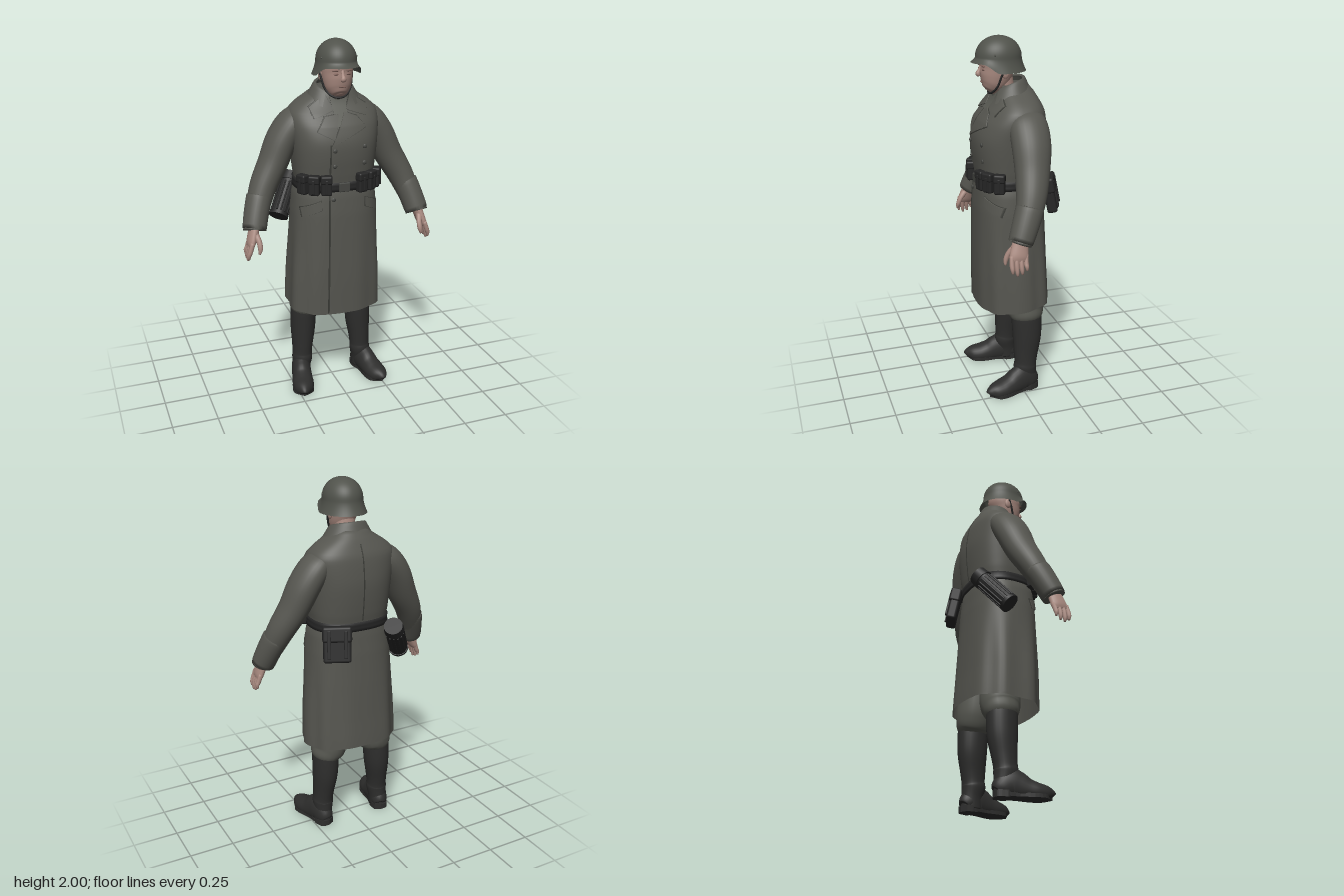
import * as THREE from 'three';
import { mergeVertices } from 'three/addons/utils/BufferGeometryUtils.js';
import { RoundedBoxGeometry } from 'three/addons/geometries/RoundedBoxGeometry.js';

const V = (x, y, z) => new THREE.Vector3(x, y, z);
const mat = (name, color, side = THREE.FrontSide) => Object.assign(new THREE.MeshStandardMaterial({ color, side }), { name });
const M = {
  coat: mat('coat cloth', 0x565650, THREE.DoubleSide),
  seam: mat('seam shadow', 0x3c3d38),
  trousers: mat('trouser cloth', 0x595a53),
  helmet: mat('helmet steel', 0x50524b, THREE.DoubleSide),
  skin: mat('skin', 0xa98a80),
  skinDark: mat('skin shade', 0x7d6058),
  boot: mat('boot leather', 0x2e2e2d),
  gear: mat('belt leather', 0x262626),
  metal: mat('dull metal', 0x464743),
};

// Catmull-Rom through rows of numbers, t in row units
function sample(rows, t) {
  const n = rows.length - 1, i = Math.min(n - 1, Math.max(0, Math.floor(t))), f = t - i;
  const [a, b, c, d] = [rows[Math.max(0, i - 1)], rows[i], rows[i + 1], rows[Math.min(n, i + 2)]];
  return b.map((p, k) => p + 0.5 * f * (c[k] - a[k] + f * (2 * a[k] - 5 * p + 4 * c[k] - d[k] + f * (3 * (p - c[k]) + d[k] - a[k]))));
}
// Surface from f(u, v): u runs right and v up when seen from outside
function grid(nu, nv, f) {
  const g = new THREE.PlaneGeometry(1, 1, nu, nv), p = g.attributes.position;
  for (let i = 0; i < p.count; i++) {
    const q = f(p.getX(i) + 0.5, p.getY(i) + 0.5);
    p.setXYZ(i, q.x, q.y, q.z);
  }
  g.deleteAttribute('uv'); g.deleteAttribute('normal');
  const m = mergeVertices(g, 1e-5);
  m.computeVertexNormals();
  return m;
}
// Closed tube through rows [x, y, z, ra, rb]; rb lies along ref
function limb(rows, ref = V(0, 0, 1), nu = 20, k = 6, floor = 0) {
  const n = rows.length - 1, nv = n * k + 2;
  return grid(nu, nv, (u, v) => {
    const j = Math.round(v * nv), t = Math.min(n, Math.max(0, (j - 1) / k));
    const s = sample(rows, t), c = V(s[0], s[1], s[2]);
    if (j === 0 || j === nv) return c;
    const e0 = sample(rows, Math.max(0, t - 0.1)), e1 = sample(rows, Math.min(n, t + 0.1));
    const d = V(e1[0] - e0[0], e1[1] - e0[1], e1[2] - e0[2]).normalize();
    const b = ref.clone().addScaledVector(d, -ref.dot(d)).normalize(), a = d.clone().cross(b), w = u * Math.PI * 2;
    c.addScaledVector(a, Math.sin(w) * s[3]).addScaledVector(b, Math.cos(w) * s[4]);
    c.y = Math.max(floor, c.y);
    return c;
  });
}
function mirrored(geo) {
  const g = geo.clone().scale(-1, 1, 1), ix = g.index;
  for (let i = 0; i < ix.count; i += 3) { const a = ix.getX(i); ix.setX(i, ix.getX(i + 1)); ix.setX(i + 1, a); }
  g.computeVertexNormals();
  return g;
}

// Coat outline [y, half width, front z, back z]
const COAT = [[0.5, 0.266, 0.212, -0.195], [0.7, 0.26, 0.214, -0.186], [0.9, 0.248, 0.212, -0.176], [1.08, 0.238, 0.208, -0.166],
  [1.18, 0.228, 0.2, -0.158], [1.235, 0.214, 0.192, -0.153], [1.3, 0.222, 0.2, -0.163], [1.4, 0.232, 0.21, -0.173],
  [1.48, 0.24, 0.207, -0.176], [1.56, 0.248, 0.18, -0.169], [1.62, 0.242, 0.14, -0.158], [1.665, 0.2, 0.108, -0.138],
  [1.71, 0.132, 0.09, -0.115], [1.745, 0.088, 0.078, -0.09]];
function section(y) {
  let i = 0;
  while (i < COAT.length - 2 && y > COAT[i + 1][0]) i++;
  const [, rx, f, b] = sample(COAT, i + Math.min(1, Math.max(0, (y - COAT[i][0]) / (COAT[i + 1][0] - COAT[i][0]))));
  return { rx, cz: (f + b) / 2, rz: (f - b) / 2 };
}
function coatPoint(a, y, off = 0) {
  const { rx, cz, rz } = section(y), s = Math.sin(a), c = Math.cos(a), pw = q => Math.sign(q) * Math.abs(q) ** 0.8;
  const fold = 0.007 * THREE.MathUtils.smoothstep(1.15 - y, 0, 0.5) * Math.abs(s) * Math.sin(9 * a);
  return V((rx + off + fold) * pw(s), y, cz + (rz + off + fold) * pw(c));
}
function coatZ(x, y, side = 1) {
  const { rx, cz, rz } = section(y), q = Math.min(0.985, Math.abs(x) / rx);
  return cz + side * rz * (1 - q ** 2.5) ** 0.4;
}
// Thin plate on the coat; corners run bottom left, bottom right, top right, top left from outside
function patch([a, b, c, d], t = 0.008, side = 1) {
  const g = new THREE.BoxGeometry(1, 1, 1, 8, 24, 1), p = g.attributes.position;
  for (let i = 0; i < p.count; i++) {
    const u = p.getX(i) + 0.5, v = p.getY(i) + 0.5, m = k => (1 - v) * ((1 - u) * a[k] + u * b[k]) + v * ((1 - u) * d[k] + u * c[k]);
    const x = m(0), y = m(1);
    p.setXYZ(i, x, y, coatZ(x, y, side) + side * (p.getZ(i) > 0 ? t : -0.001));
  }
  g.computeVertexNormals();
  return g;
}

export function createModel() {
  const root = new THREE.Group();
  const add = (name, geo, m, parent = root) => {
    const o = new THREE.Mesh(geo, m);
    o.name = name; parent.add(o);
    return o;
  };
  const pair = (name, geo, m, shift = 0) => { add('left ' + name, geo, m); add('right ' + name, mirrored(geo), m).position.x = shift; };
  const blob = (name, m, p, s) => { const o = add(name, new THREE.SphereGeometry(1, 16, 12), m); o.position.set(...p); o.scale.set(...s); return o; };

  // Greatcoat, open at the hem, which rises at the back
  add('greatcoat', grid(72, 72, (u, v) => {
    const y = 0.5 + 1.245 * Math.min(1, v * 72 / 71), p = coatPoint(u * Math.PI * 2, y);
    if (v > 0.999) p.set(0, 1.745, 0);
    p.y += 0.03 * Math.max(0, 0.7 - y) / 0.2 * (0.2 - p.z) / 0.4;
    return p;
  }), M.coat);
  add('front edge', patch([[-0.095, 0.51], [-0.087, 0.51], [-0.072, 1.47], [-0.08, 1.47]], 0.004), M.seam);
  add('back seam', patch([[0.003, 1.27], [-0.003, 1.27], [-0.003, 1.68], [0.003, 1.68]], 0.002, -1), M.seam);

  // Lapels, collar wings and pocket flaps, each with a dark edge beneath
  const flap = (name, q) => {
    const cx = q.reduce((s, p) => s + p[0] / 4, 0), cy = q.reduce((s, p) => s + p[1] / 4, 0);
    add(name, patch(q), M.coat);
    add(name + ' edge', patch(q.map(([x, y]) => [x + 0.003 * Math.sign(x - cx), y + 0.003 * Math.sign(y - cy)]), 0.003), M.seam);
  };
  const flip = q => [q[1], q[0], q[3], q[2]].map(([x, y]) => [-x, y]);
  add('tunic front', patch([[-0.03, 1.56], [0.03, 1.56], [0.045, 1.7], [-0.045, 1.7]], 0.004), M.trousers);
  flap('left lapel', [[-0.07, 1.465], [0.13, 1.55], [0.085, 1.605], [0.02, 1.63]]);
  flap('right lapel', [[-0.14, 1.54], [-0.055, 1.495], [-0.012, 1.62], [-0.09, 1.61]]);
  const wing = [[0.035, 1.64], [0.145, 1.602], [0.16, 1.655], [0.07, 1.715]], pocket = [[0.125, 1.115], [0.215, 1.07], [0.22, 1.12], [0.125, 1.165]];
  for (const [n, q] of [['collar wing', wing], ['pocket flap', pocket]]) { flap('left ' + n, q); flap('right ' + n, flip(q)); }
  add('collar', grid(40, 8, (u, v) => {
    const a = (1 - 2 * u) * 2.5, t = Math.abs(a) / 2.5, r = sample([[0.145, 0], [0.12, 0.5], [0.095, 1], [0.082, 0.92]], v * 3);
    const low = 1.692 - 0.035 * t ** 3, high = 1.785 - 0.055 * t * t;
    return V(Math.sin(a) * (r[0] + 0.008 * t), low + (high - low) * r[1], 0.014 - Math.cos(a) * r[0] * 0.9);
  }), M.coat);
  add('tunic collar', limb([[0, 1.63, 0.02, 0.08, 0.075], [0, 1.69, 0.032, 0.074, 0.072], [0, 1.735, 0.04, 0.069, 0.066]]), M.trousers);
  for (const [x, y] of [[-0.055, 1.44], [0.115, 1.45], [-0.055, 1.355], [0.115, 1.36], [-0.06, 1.17]])
    blob('coat button', M.metal, [x, y, coatZ(x, y) + 0.004], [0.012, 0.012, 0.006]);

  // Sleeves, cuffs and hands
  pair('sleeve', limb([[0.16, 1.615, -0.022, 0.045, 0.08], [0.215, 1.558, -0.024, 0.077, 0.104], [0.278, 1.465, -0.02, 0.084, 0.104], [0.335, 1.345, -0.005, 0.08, 0.092],
    [0.398, 1.23, 0.022, 0.073, 0.08], [0.442, 1.12, 0.06, 0.063, 0.066], [0.47, 1.04, 0.095, 0.058, 0.058]], V(0, 0, 1), 28), M.coat);
  pair('cuff', limb([[0.426, 1.18, 0.04, 0.062, 0.066], [0.427, 1.177, 0.041, 0.069, 0.074], [0.453, 1.1, 0.073, 0.067, 0.071], [0.474, 1.022, 0.106, 0.064, 0.064], [0.473, 1.03, 0.103, 0.056, 0.054]], V(0, 0, 1), 28, 3), M.coat);
  pair('palm', limb([[0.468, 1.06, 0.1, 0.03, 0.036], [0.482, 1.01, 0.112, 0.027, 0.044], [0.498, 0.96, 0.122, 0.023, 0.05], [0.505, 0.935, 0.125, 0.015, 0.047]]), M.skin);
  for (let i = 0; i < 4; i++) {
    const z = 0.086 + i * 0.0255, end = [0.885, 0.868, 0.862, 0.876][i];
    pair('finger', limb([[0.499, 0.965, z, 0.013, 0.013], [0.514, 0.92, z + 0.003, 0.013, 0.013], [0.522, end + 0.02, z + 0.002, 0.011, 0.011], [0.522, end, z, 0.006, 0.006]], V(0, 0, 1), 10, 3), M.skin);
  }
  pair('thumb', limb([[0.478, 1.01, 0.13, 0.018, 0.02], [0.466, 0.972, 0.165, 0.015, 0.015], [0.464, 0.935, 0.182, 0.013, 0.013], [0.47, 0.908, 0.186, 0.006, 0.006]], V(0, 0, 1), 10, 3), M.skin);

  // Head and face
  add('neck', limb([[0, 1.6, 0.01, 0.065, 0.065], [0, 1.7, 0.04, 0.061, 0.062], [0, 1.8, 0.06, 0.06, 0.065]]), M.skin);
  add('head', limb([[0, 1.707, 0.12, 0.022, 0.026], [0, 1.718, 0.113, 0.044, 0.048], [0, 1.745, 0.1, 0.065, 0.068], [0, 1.78, 0.088, 0.076, 0.084],
    [0, 1.82, 0.079, 0.082, 0.092], [0, 1.86, 0.073, 0.084, 0.1], [0, 1.92, 0.068, 0.075, 0.09]], V(0, 0, 1), 32), M.skin);
  add('nose', limb([[0, 1.85, 0.163, 0.009, 0.008], [0, 1.825, 0.172, 0.009, 0.01], [0, 1.805, 0.181, 0.014, 0.013], [0, 1.795, 0.175, 0.013, 0.008]], V(0, 0, 1), 12), M.skin);
  blob('mouth', M.skinDark, [0, 1.763, 0.163], [0.023, 0.004, 0.005]);
  for (const s of [1, -1]) {
    blob('eye', M.skinDark, [s * 0.033, 1.829, 0.1625], [0.015, 0.006, 0.005]);
    blob('brow', M.skinDark, [s * 0.034, 1.847, 0.162], [0.022, 0.005, 0.006]);
    blob('ear', M.skin, [s * 0.083, 1.815, 0.055], [0.01, 0.03, 0.02]);
    blob('helmet rivet', M.helmet, [s * 0.096, 1.91, 0.115], [0.005, 0.005, 0.005]);
  }

  // Helmet with a flared skirt, raised over the face
  add('helmet', grid(48, 24, (u, v) => {
    const a = u * Math.PI * 2, front = THREE.MathUtils.smoothstep(Math.cos(a), 0.15, 0.75);
    const rim = 1.816 + 0.048 * front, w = Math.max(0, 1 - v / 0.4), d = Math.max(0, (v - 0.4) / 0.6) * Math.PI / 2;
    const s = Math.cos(d) + 0.2 * w ** 1.6, y = w > 0 ? 1.892 + (rim - 1.892) * w : 1.892 + 0.108 * Math.sin(d);
    return V(0.106 * s * Math.sin(a), y, 0.068 + 0.124 * s * Math.cos(a));
  }), M.helmet);
  const strap = new THREE.CatmullRomCurve3([[0.09, 1.84, 0.06], [0.083, 1.79, 0.08], [0.068, 1.74, 0.096], [0.036, 1.708, 0.116], [0, 1.7, 0.122],
    [-0.036, 1.708, 0.116], [-0.068, 1.74, 0.096], [-0.083, 1.79, 0.08], [-0.09, 1.84, 0.06]].map(p => V(...p)));
  add('chin strap', new THREE.TubeGeometry(strap, 40, 0.006, 8), M.gear);

  // Trousers and boots, the right leg standing slightly closer in
  const step = 0.01;
  pair('trouser leg', limb([[0.12, 0.8, -0.02, 0.095, 0.1], [0.138, 0.58, -0.03, 0.106, 0.11], [0.15, 0.5, -0.034, 0.102, 0.108], [0.166, 0.455, -0.036, 0.09, 0.096], [0.172, 0.425, -0.036, 0.066, 0.078]]), M.trousers, step);
  pair('boot shaft', limb([[0.172, 0.452, -0.036, 0.064, 0.076], [0.172, 0.45, -0.036, 0.073, 0.086], [0.176, 0.33, -0.038, 0.071, 0.083], [0.183, 0.22, -0.03, 0.06, 0.07],
    [0.186, 0.165, -0.026, 0.057, 0.064], [0.187, 0.135, -0.024, 0.059, 0.066], [0.189, 0.08, -0.03, 0.051, 0.06], [0.19, 0.02, -0.032, 0.047, 0.06]], V(0, 0, 1), 24), M.boot, step);
  const place = g => g.rotateY(0.21).translate(0.202, 0, 0);
  pair('boot foot', place(limb([[-0.07, 0.038, 0.07], [-0.05, 0.05, 0.11], [-0.01, 0.055, 0.155], [0.03, 0.056, 0.142], [0.075, 0.058, 0.112], [0.125, 0.061, 0.092], [0.17, 0.053, 0.08], [0.195, 0.036, 0.066], [0.204, 0.018, 0.05]]
    .map(([z, w, h]) => [0, h / 2 - 0.01, z, w, h / 2 + 0.01]), V(0, 1, 0), 28, 6, 0.012)), M.boot, step);
  const mirrorRing = p => [...p.map(([x, z]) => [x, -z]), ...p.slice(1).reverse().map(([x, z]) => [-x, -z])];
  const slab = (pts, y, h) => mergeVertices(place(new THREE.ExtrudeGeometry(new THREE.Shape().setFromPoints(new THREE.SplineCurve(mirrorRing(pts).map(p => new THREE.Vector2(...p))).getPoints(40)),
    { depth: h, bevelEnabled: false }).rotateX(-Math.PI / 2).translate(0, y, 0)).deleteAttribute('uv'));
  pair('boot sole', slab([[0, -0.098], [0.036, -0.086], [0.05, -0.04], [0.048, 0.03], [0.061, 0.11], [0.053, 0.17], [0, 0.207]], 0.004, 0.02), M.boot, step);
  pair('boot heel', slab([[0, -0.099], [0.038, -0.087], [0.049, -0.05], [0.046, -0.02], [0, -0.015]], 0, 0.034), M.boot, step);

  // Belt, buckle and cartridge pouches
  add('belt', grid(64, 5, (u, v) => coatPoint(u * Math.PI * 2, 1.212 + 0.048 * Math.min(1, Math.max(0, v * 5 - 1) / 3), v < 0.1 || v > 0.9 ? -0.01 : 0.008)), M.gear);
  add('belt buckle', new RoundedBoxGeometry(0.062, 0.05, 0.014, 2, 0.005), M.metal).position.set(0, 1.236, 0.204);
  for (const s of [1, -1]) [0.1, 0.152, 0.194].forEach((x, i) => {
    const g = new THREE.Group(), slope = (coatZ(x + 0.012, 1.235) - coatZ(x - 0.012, 1.235)) / 0.024;
    g.name = 'cartridge pouch';
    g.position.set(s * (x + 0.007 * i), 1.25, coatZ(x, 1.235) + 0.018);
    g.rotation.y = s * Math.atan(-slope);
    add('pouch body', new RoundedBoxGeometry(0.058, 0.1, 0.044, 3, 0.01), M.gear, g);
    add('pouch lid', new RoundedBoxGeometry(0.062, 0.045, 0.05, 3, 0.01), M.gear, g).position.set(0, 0.036, 0.002);
    add('pouch tab', new RoundedBoxGeometry(0.014, 0.075, 0.008, 2, 0.003), M.gear, g).position.set(0, -0.002, 0.026);
    root.add(g);
  });

  // Bag at the back left
  const bag = new THREE.Group();
  bag.name = 'back bag';
  bag.position.set(0.163, 1.163, -0.173);
  bag.rotation.set(-0.2, 2.72, 0, 'YXZ');
  add('bag body', new RoundedBoxGeometry(0.15, 0.19, 0.055, 3, 0.014), M.gear, bag);
  add('bag lid', new RoundedBoxGeometry(0.158, 0.085, 0.064, 3, 0.014), M.gear, bag).position.set(0, 0.058, 0.004);
  for (const x of [-0.045, 0.045]) add('bag strap', new RoundedBoxGeometry(0.02, 0.15, 0.012, 2, 0.004), M.gear, bag).position.set(x, 0.005, 0.033);
  root.add(bag);

  // Ribbed canister slung from the belt at the back right
  const can = new THREE.Group(), top = V(-0.178, 1.21, -0.185), low = V(-0.292, 1.025, -0.06);
  can.name = 'canister';
  can.position.copy(top).lerp(low, 0.5);
  can.quaternion.setFromUnitVectors(V(0, 1, 0), top.clone().sub(low).normalize());
  add('canister body', new THREE.CylinderGeometry(0.05, 0.05, 0.26, 24), M.gear, can);
  add('canister lid', new THREE.CylinderGeometry(0.052, 0.056, 0.05, 24), M.gear, can).position.y = 0.11;
  add('canister foot', new THREE.CylinderGeometry(0.055, 0.055, 0.014, 24), M.gear, can).position.y = -0.125;
  for (let i = 0; i < 14; i++) {
    const a = i / 14 * Math.PI * 2;
    add('canister rib', new THREE.CylinderGeometry(0.005, 0.005, 0.18, 6), M.gear, can).position.set(0.05 * Math.cos(a), -0.02, 0.05 * Math.sin(a));
  }
  root.add(can);
  return root;
}
